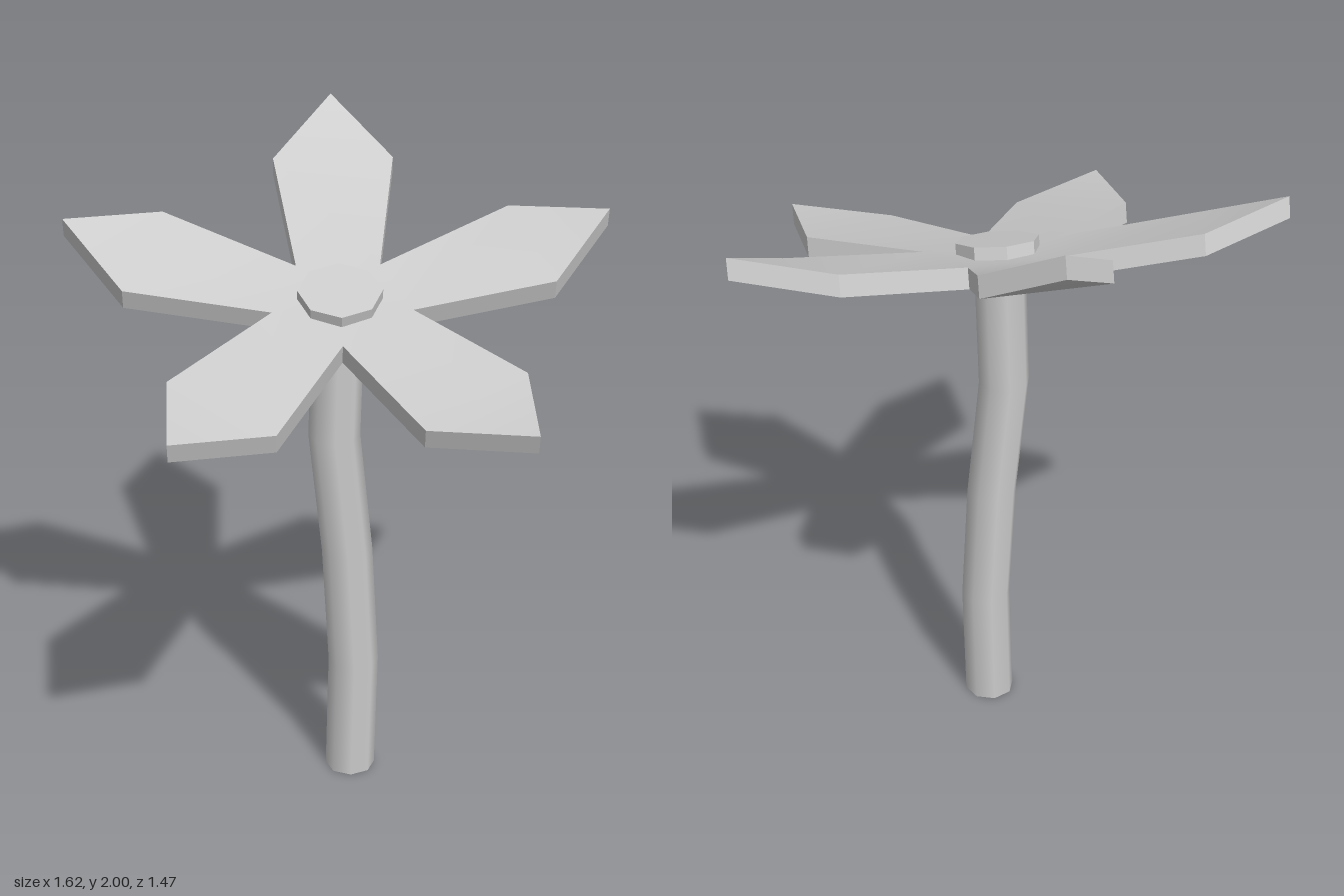
import * as THREE from 'three';

const grey = new THREE.MeshStandardMaterial({ color: 0xcccccc });
grey.name = 'plain grey';

// Each petal, counter-clockwise from above: inner corner, shoulder, tip, shoulder.
const petals = [
  [[0.125, 1.66, -0.115], [0.185, 1.857, -0.515], [0, 2, -0.715], [-0.185, 1.857, -0.515]],
  [[-0.125, 1.66, -0.115], [-0.52, 1.775, -0.28], [-0.81, 1.8, -0.16], [-0.63, 1.66, 0.065]],
  [[-0.2, 1.605, 0.11], [-0.495, 1.53, 0.415], [-0.487, 1.49, 0.735], [-0.195, 1.46, 0.625]],
  [[0, 1.555, 0.245], [0.21, 1.465, 0.62], [0.51, 1.49, 0.72], [0.51, 1.535, 0.405]],
  [[0.21, 1.605, 0.105], [0.63, 1.665, 0.05], [0.81, 1.805, -0.17], [0.52, 1.778, -0.285]],
];
const thickness = [0, -0.06, -0.02];

function surface(points, index) {
  const g = new THREE.BufferGeometry();
  g.setAttribute('position', new THREE.Float32BufferAttribute(points.flat(), 3));
  if (index) g.setIndex(index);
  g.computeVertexNormals();
  return g;
}

function mesh(name, geometry) {
  const m = new THREE.Mesh(geometry, grey);
  m.name = name;
  return m;
}

// Five joined petals: smooth upper and lower faces, crisp rim
function makePetals() {
  const group = new THREE.Group();
  group.name = 'petals';
  const top = petals.flat();
  const bottom = top.map(p => p.map((v, i) => v + thickness[i]));
  const n = top.length;
  const faces = [];
  for (let i = 0; i < n; i += 4) {
    const next = (i + 4) % n;
    faces.push([i, i + 1, i + 3], [i, i + 3, next], [i + 1, i + 2, i + 3]);
    faces.push([n, i, next]);
  }
  const centre = [0, 1.61, 0.055];
  const lowCentre = centre.map((v, i) => v + thickness[i]);
  group.add(mesh('petalTops', surface([...top, centre], faces.flat())));
  group.add(mesh('petalUndersides',
    surface([...bottom, lowCentre], faces.flatMap(([a, b, c]) => [a, c, b]))));
  const rim = [];
  for (let i = 0; i < n; i++) {
    const j = (i + 1) % n;
    rim.push(top[i], bottom[i], bottom[j], top[i], bottom[j], top[j]);
  }
  group.add(mesh('petalRim', surface(rim)));
  return group;
}

// Octagonal flower centre, tilted with the bloom
function makeCentre() {
  const g = new THREE.CylinderGeometry(0.125, 0.125, 0.06, 8).toNonIndexed();
  g.computeVertexNormals();
  const m = mesh('flowerCentre', g);
  m.rotation.x = 0.3;
  m.position.set(0, 1.62, 0.045);
  return m;
}

// Gently swaying stem
function makeStem() {
  const height = 1.57, sway = [0.032, 0.042, 0.022, -0.017, -0.005];
  const g = new THREE.CylinderGeometry(0.078, 0.078, height, 8, 4);
  g.translate(0, height / 2, 0.038);
  const p = g.attributes.position;
  for (let i = 0; i < p.count; i++) {
    p.setX(i, p.getX(i) + sway[Math.round(p.getY(i) / height * 4)]);
  }
  return mesh('stem', g);
}

export function createModel() {
  const model = new THREE.Group();
  model.name = 'flower';
  model.add(makeStem(), makePetals(), makeCentre());
  return model;
}
